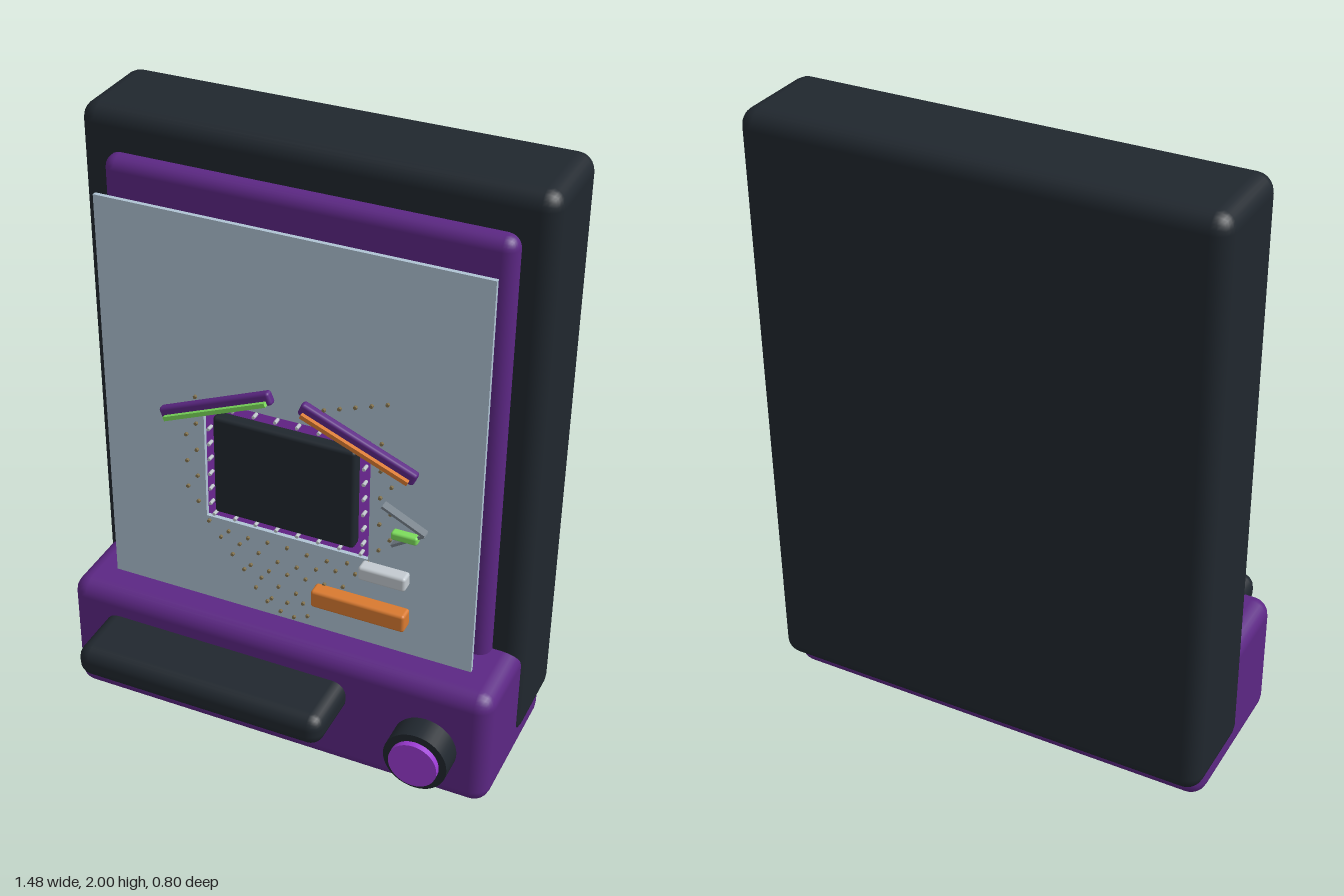
import * as THREE from 'three';
import { RoundedBoxGeometry } from 'three/addons/geometries/RoundedBoxGeometry.js';

const mat = (color) => new THREE.MeshStandardMaterial({ color });
const dark = mat(0x20272e), slate = mat(0x363a46), purple = mat(0x5c2784), violet = mat(0x9b3bd2);
const pane = mat(0xafc3d3), orange = mat(0xd97a30), green = mat(0x7ddc5c), silver = mat(0xc3cad0);
const steel = mat(0x757f88), brass = mat(0x857550);

export function createModel() {
  const model = new THREE.Group();

  const add = (name, geometry, material, x = 0, y = 0, z = 0, parent = model) => {
    const mesh = new THREE.Mesh(geometry, material);
    mesh.name = name;
    mesh.position.set(x, y, z);
    parent.add(mesh);
    return mesh;
  };
  // Rounded block given by its limits on each axis
  const block = (name, material, [x0, x1], [y0, y1], [z0, z1], radius) =>
    add(name, new RoundedBoxGeometry(x1 - x0, y1 - y0, z1 - z0, 3, radius), material,
      (x0 + x1) / 2, (y0 + y1) / 2, (z0 + z1) / 2);

  // Housing, base and stacked panels
  block('housing', dark, [-0.74, 0.74], [0.075, 2], [-0.4, -0.06], 0.055);
  block('base', purple, [-0.73, 0.73], [0, 0.43], [-0.34, 0.195], 0.055);
  block('backPanel', purple, [-0.64, 0.64], [0.2, 1.87], [-0.12, -0.01], 0.04);
  block('innerPanel', slate, [-0.56, 0.56], [0.3, 1.55], [-0.02, 0.02], 0.014);

  // Front pane with a rectangular opening
  const rect = (path, x0, x1, y0, y1) =>
    path.moveTo(x0, y0).lineTo(x1, y0).lineTo(x1, y1).lineTo(x0, y1).closePath();
  const paneShape = new THREE.Shape();
  rect(paneShape, -0.62, 0.62, 0.3, 1.79);
  const opening = new THREE.Path();
  rect(opening, -0.28, 0.27, 0.75, 1.18);
  paneShape.holes.push(opening);
  add('frontPane', new THREE.ExtrudeGeometry(paneShape, { depth: 0.014, bevelEnabled: false }),
    pane, 0, 0, 0.061);

  // Module and screen behind the opening
  block('modulePlate', violet, [-0.3, 0.3], [0.73, 1.2], [0.03, 0.06], 0.012);
  block('screen', dark, [-0.24, 0.23], [0.79, 1.14], [0.05, 0.098], 0.012);

  // Front tray and dial
  block('tray', dark, [-0.6, 0.255], [0.23, 0.34], [0.15, 0.4], 0.045);
  const disc = (name, material, r, z0, z1) =>
    add(name, new THREE.CylinderGeometry(r, r, z1 - z0, 40).rotateX(Math.PI / 2), material,
      0.525, 0.195, (z0 + z1) / 2);
  disc('dial', dark, 0.105, 0.15, 0.28);
  disc('dialCap', violet, 0.08, 0.27, 0.3);

  // Slanted bars with a coloured strip, mirrored left and right
  for (const [side, stripMaterial, x, y] of [[-1, green, -0.228, 1.182], [1, orange, 0.236, 1.175]]) {
    const bar = new THREE.Group();
    bar.name = side < 0 ? 'rightSlantedBar' : 'leftSlantedBar';
    bar.position.set(x, y, 0);
    bar.rotation.z = -side * 0.39;
    add('barBody', new RoundedBoxGeometry(0.4, 0.044, 0.03, 2, 0.01), purple, 0, 0, 0.091, bar);
    add('barStrip', new THREE.BoxGeometry(0.37, 0.014, 0.016), stripMaterial, 0, -0.01, 0.112, bar);
    model.add(bar);
  }

  // Small blocks on the pane
  block('greenTab', green, [0.355, 0.44], [0.878, 0.906], [0.085, 0.115], 0.008);
  block('silverBlock', silver, [0.255, 0.41], [0.7, 0.75], [0.075, 0.122], 0.01);
  block('orangeBlock', orange, [0.1, 0.413], [0.548, 0.611], [0.075, 0.127], 0.01);

  // Bent pointer made of two rods
  for (const [x0, y0, x1, y1] of [[0.32, 0.98, 0.457, 0.912], [0.355, 0.848, 0.457, 0.914]]) {
    const rod = add('pointerRod', new THREE.BoxGeometry(Math.hypot(x1 - x0, y1 - y0), 0.009, 0.03),
      steel, (x0 + x1) / 2, (y0 + y1) / 2, 0.09);
    rod.rotation.z = Math.atan2(y1 - y0, x1 - x0);
  }

  // Pins: a row round the module, then scattered rings that narrow downwards
  const pinGeometry = new THREE.CylinderGeometry(0.006, 0.006, 0.07, 6).rotateX(Math.PI / 2);
  const pin = (x, y, material = brass) => add('pin', pinGeometry, material, x, y, 0.049);
  for (let i = 0; i < 8; i++) {
    const x = -0.25 + i * 0.071;
    pin(x, 1.165, silver);
    pin(x, 0.768, silver);
    if (i > 0 && i < 7) {
      pin(-0.262, 0.75 + i * 0.055, silver);
      pin(0.252, 0.75 + i * 0.055, silver);
    }
  }
  for (let row = 0; row < 6; row++) {
    const y = 0.72 - row * 0.052;
    const half = 0.27 - row * 0.04;
    const count = 9 - row;
    for (let i = 0; i < count; i++) {
      const t = (i / (count - 1)) * 2 - 1;
      pin(half * t, y + 0.03 * (t * t - 0.5) + 0.008 * Math.sin(i * 5 + row * 3));
    }
  }
  for (const side of [-1, 1]) {
    for (let i = 0; i < 9; i++) {
      pin(side * (0.305 + 0.035 * (i % 2)), 0.8 + i * 0.048);
    }
  }
  for (let i = 0; i < 5; i++) pin(0.12 + i * 0.05, 1.25 + 0.018 * i);
  return model;
}
